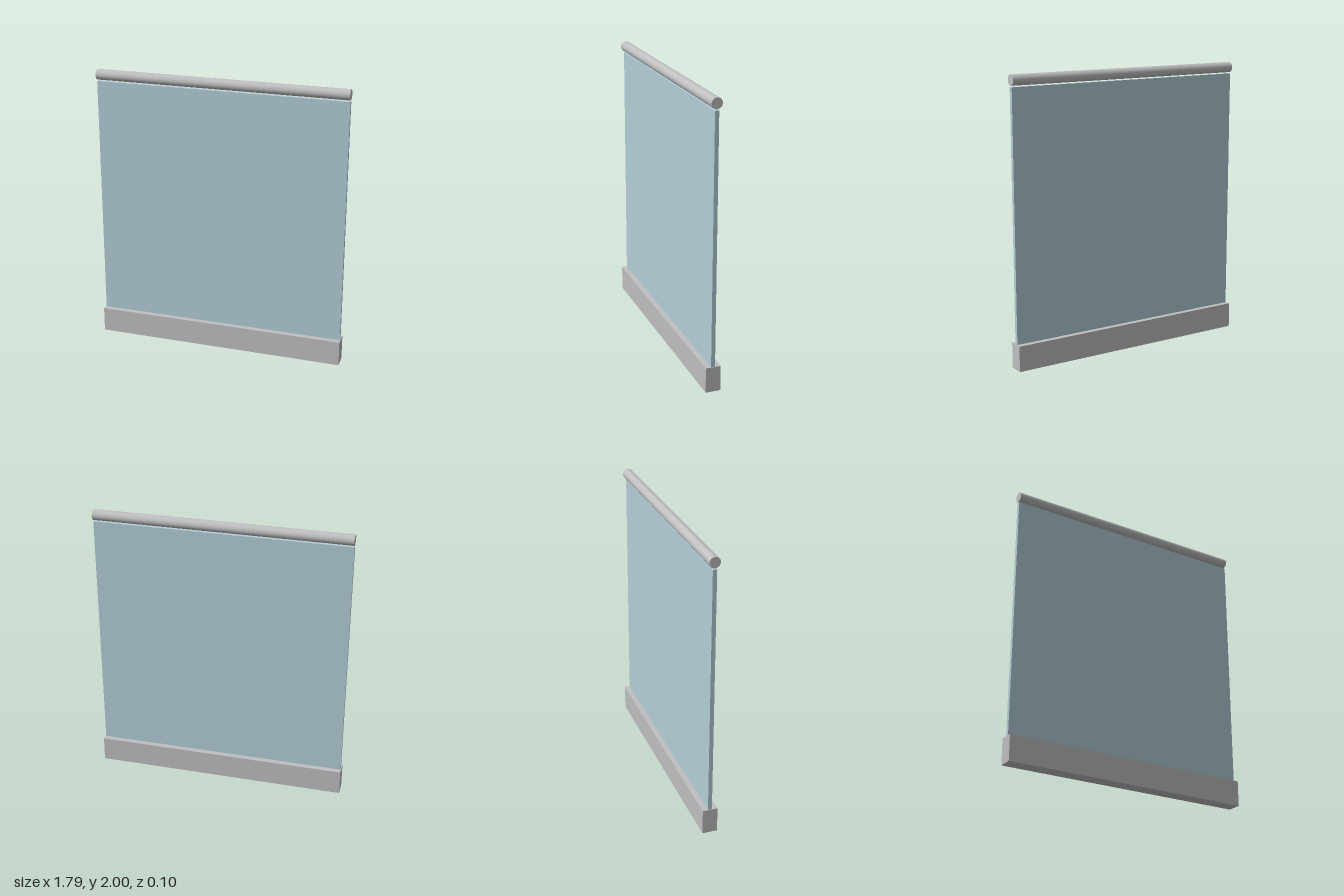
import * as THREE from 'three';

export function createModel() {
  const group = new THREE.Group();
  const metal = new THREE.MeshStandardMaterial({ color: 0xbfbfc1 });
  metal.name = 'brushed metal';
  const glass = new THREE.MeshStandardMaterial({ color: 0xb3ced6 });
  glass.name = 'pale blue glass';

  const add = (name, geometry, material, y) => {
    const mesh = new THREE.Mesh(geometry, material);
    mesh.name = name;
    mesh.position.y = y;
    group.add(mesh);
    return mesh;
  };

  // Base channel that clamps the glass
  const baseHeight = 0.18;
  add('baseChannel', new THREE.BoxGeometry(1.795, baseHeight, 0.105), metal, baseHeight / 2);

  // Glass panel, seated slightly into the channel
  const glassBottom = 0.17, glassTop = 1.918;
  add('glassPanel', new THREE.BoxGeometry(1.785, glassTop - glassBottom, 0.028),
    glass, (glassBottom + glassTop) / 2);

  // Round handrail, just clear of the glass
  const railRadius = 0.037;
  const rail = add('handrail', new THREE.CylinderGeometry(railRadius, railRadius, 1.785, 48),
    metal, 2 - railRadius);
  rail.rotation.z = Math.PI / 2;

  return group;
}
